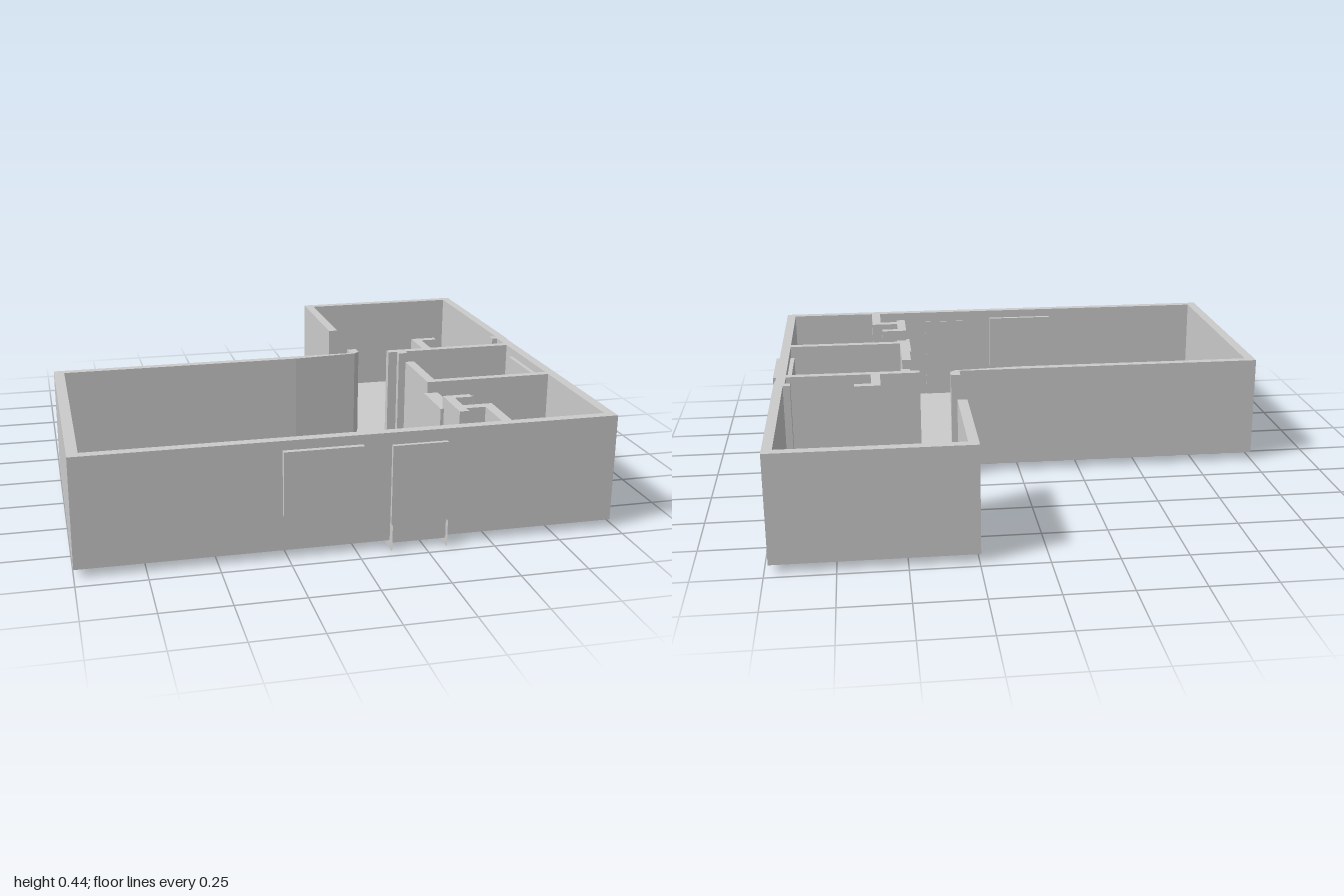
import * as THREE from 'three';

const FLOOR = 0.03, TOP = 0.44;
const material = new THREE.MeshStandardMaterial({ color: 0xcccccc, side: THREE.DoubleSide });

export function createModel() {
  const model = new THREE.Group();

  const add = (parent, name, geometry) => {
    const mesh = new THREE.Mesh(geometry, material);
    mesh.name = name;
    parent.add(mesh);
    return mesh;
  };

  // Plan outline given as [x, z] corners, raised from y0 to y1
  const raisePlan = (name, plan, y0, y1) => {
    const shape = new THREE.Shape(plan.map(([x, z]) => new THREE.Vector2(x, -z)));
    const geometry = new THREE.ExtrudeGeometry(shape, { depth: y1 - y0, bevelEnabled: false });
    geometry.rotateX(-Math.PI / 2).translate(0, y0, 0);
    return add(model, name, geometry);
  };

  // Box given by its minimum and maximum corners
  const box = (parent, name, a, b) => {
    const mesh = add(parent, name, new THREE.BoxGeometry(b[0] - a[0], b[1] - a[1], b[2] - a[2]));
    mesh.position.set((a[0] + b[0]) / 2, (a[1] + b[1]) / 2, (a[2] + b[2]) / 2);
    return mesh;
  };

  // L-shaped floor slab
  raisePlan('floor', [
    [-1, -0.088], [0.245, -0.088], [0.245, -0.964], [0.985, -0.964], [0.98, 0.93], [-1, 0.93],
  ], FLOOR, FLOOR + 0.004);

  // Outer wall, open at the wing entrance
  raisePlan('outerWall', [
    [0.283, -0.143], [0.245, -0.143], [0.245, -0.088], [-1, -0.088], [-1, 0.93], [0.98, 0.93],
    [0.98, -0.13], [0.985, -0.17], [0.985, -0.964], [0.245, -0.964], [0.245, -0.463],
    [0.283, -0.463], [0.283, -0.927], [0.948, -0.927], [0.948, -0.21], [0.92, -0.21],
    [0.92, -0.175], [0.942, -0.175], [0.942, 0.893], [-0.96, 0.893], [-0.96, -0.055],
    [0, -0.055], [0.26, -0.077], [0.283, -0.098],
  ], FLOOR, TOP);

  // Partition between wing and middle room
  raisePlan('rearPartition', [
    [0.406, -0.093], [0.567, -0.093], [0.567, -0.248], [0.671, -0.248], [0.671, -0.216],
    [0.604, -0.216], [0.604, -0.093], [0.945, -0.093], [0.945, -0.061], [0.481, -0.061],
    [0.481, -0.034], [0.444, -0.034], [0.444, -0.061], [0.406, -0.061],
  ], FLOOR, TOP);

  // Partition between middle and front rooms
  raisePlan('middlePartition', [
    [0.433, 0.094], [0.47, 0.094], [0.47, 0.356], [0.945, 0.356], [0.945, 0.388], [0.433, 0.388],
  ], FLOOR, TOP);

  // Stepped partition beside the front room
  raisePlan('frontPartition', [
    [0.433, 0.57], [0.54, 0.57], [0.54, 0.602], [0.47, 0.602], [0.47, 0.693], [0.583, 0.693],
    [0.583, 0.895], [0.545, 0.895], [0.545, 0.73], [0.47, 0.73], [0.47, 0.762], [0.433, 0.762],
  ], FLOOR, TOP);

  // Windows set through the walls
  box(model, 'frontWindow', [-0.268, 0.165, 0.875], [0.02, 0.405, 0.95]);
  box(model, 'sideWindow', [0.925, 0.168, 0.008], [1, 0.408, 0.298]);

  // Door panel with a thin upright plate at the foot of each side
  const door = (name, x, z, turn) => {
    const group = new THREE.Group();
    group.name = name;
    box(group, 'doorPanel', [-0.102, 0.026, -0.028], [0.102, 0.395, 0.028]);
    for (const side of [-1, 1]) {
      const plate = add(group, 'footPlate', new THREE.PlaneGeometry(0.095, 0.1));
      plate.rotation.y = Math.PI / 2;
      plate.position.set(side * 0.103, 0.05, 0);
    }
    group.position.set(x, 0, z);
    group.rotation.y = turn;
    model.add(group);
  };
  door('frontDoor', 0.227, 0.917, 0);
  door('roomDoor', 0.448, 0.486, Math.PI / 2);

  // Open door leaf with a handle on each face
  const leaf = new THREE.Group();
  leaf.name = 'openDoorLeaf';
  box(leaf, 'leafPanel', [0, FLOOR, -0.003], [0.14, 0.38, 0.003]);
  for (const side of [-1, 1]) {
    const stem = add(leaf, 'handleStem', new THREE.CylinderGeometry(0.004, 0.004, 0.018, 8));
    stem.rotation.x = Math.PI / 2;
    stem.position.set(0.126, 0.19, side * 0.011);
    box(leaf, 'handleLever', [0.1, 0.186, side * 0.019 - 0.003], [0.13, 0.194, side * 0.019 + 0.003]);
  }
  leaf.position.set(0.476, 0, 0.41);
  leaf.rotation.y = -0.05;
  model.add(leaf);

  return model;
}
